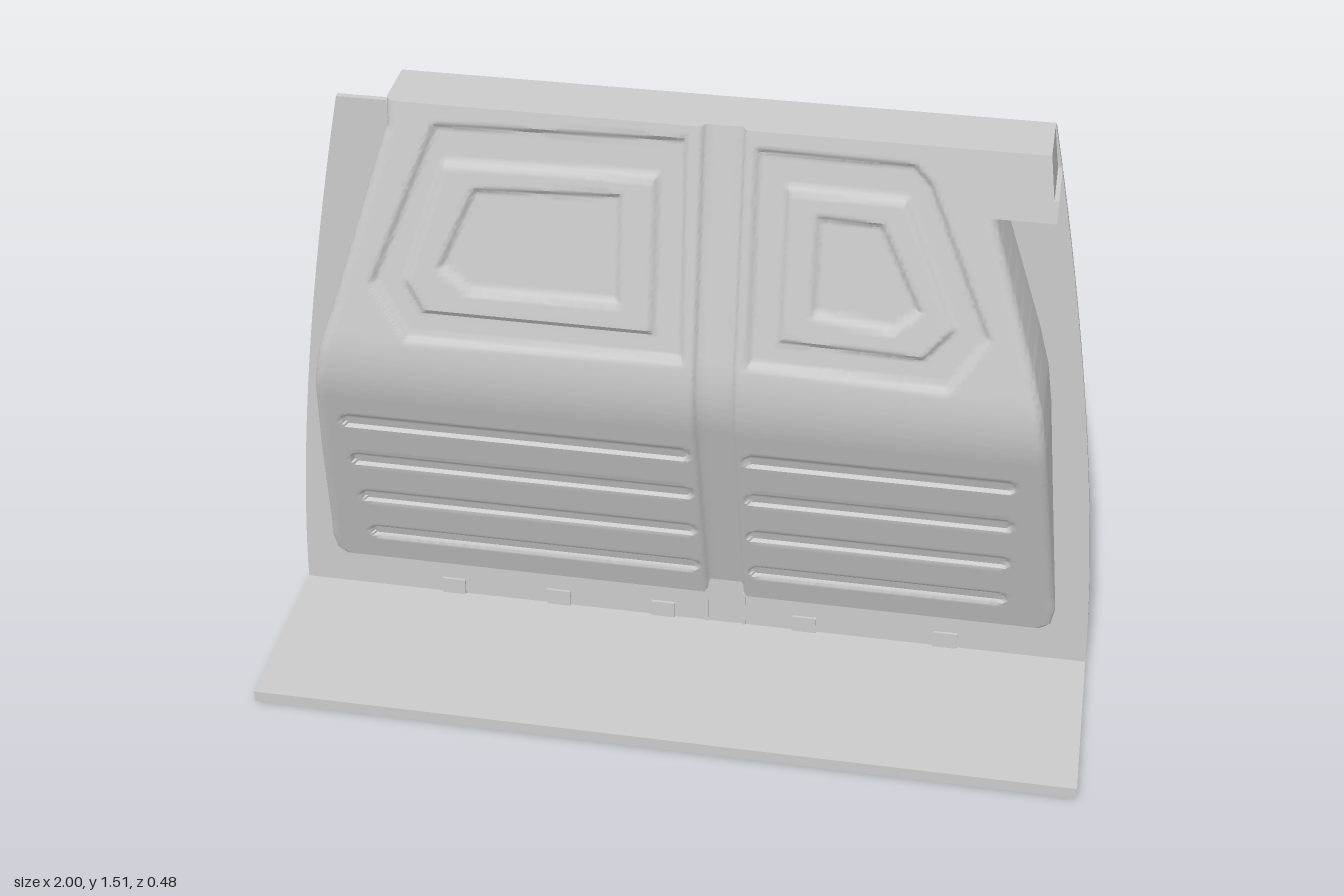
import * as THREE from 'three';
import { toCreasedNormals } from 'three/addons/utils/BufferGeometryUtils.js';

const BACK = -0.24, PLATE = -0.225, SEAT = -0.235, TOP = 1.51, FOOT = 0.12;

// piecewise-linear lookup of x along y
function lookup(points, y) {
  for (let i = 1; i < points.length; i++) {
    const [y0, x0] = points[i - 1], [y1, x1] = points[i];
    if (y <= y1) return x0 + (x1 - x0) * (y - y0) / (y1 - y0);
  }
  return points[points.length - 1][1];
}

// side edges of the pressed body
const LEFT_EDGE = [[0.12, -0.89], [0.14, -0.912], [0.19, -0.92], [0.55, -0.885], [0.8, -0.855], [0.9, -0.835],
  [1.0, -0.80], [1.42, -0.672], [1.45, -0.66], [1.51, -0.66]];
const RIGHT_EDGE = [[0.12, 0.88], [0.14, 0.905], [0.19, 0.912], [0.55, 0.875], [0.8, 0.85], [0.9, 0.835],
  [1.0, 0.808], [1.36, 0.69], [1.51, 0.65]];

// outer edge of the flat back plate
const plateX = y => 1 - 0.2 * Math.pow(y / TOP, 1.6);

// depth of the body: two slopes blended round the bend
function profile(y) {
  const a = PLATE + (y - FOOT) * 0.339, b = -0.09 + (TOP - y) * 0.175, k = 0.05;
  const h = Math.max(k - Math.abs(a - b), 0) / k;
  return Math.min(a, b) - h * h * k / 4;
}

// nested window pressings, clockwise: outer, middle, inner
const PANELS = [
  [[-0.55, 1.46], [0.01, 1.475], [0.02, 0.96], [-0.62, 0.95], [-0.70, 1.08]],
  [[-0.53, 1.375], [-0.05, 1.385], [-0.05, 1.02], [-0.58, 1.02], [-0.62, 1.09]],
  [[-0.46, 1.32], [-0.13, 1.335], [-0.13, 1.085], [-0.47, 1.08], [-0.54, 1.13]],
  [[0.17, 1.465], [0.51, 1.46], [0.55, 1.42], [0.70, 1.08], [0.62, 0.95], [0.17, 0.965]],
  [[0.24, 1.385], [0.50, 1.38], [0.62, 1.09], [0.56, 1.02], [0.24, 1.03]],
  [[0.31, 1.325], [0.45, 1.32], [0.545, 1.13], [0.49, 1.08], [0.31, 1.10]],
];
const PANEL_DEPTH = [0.013, -0.013, 0.013];

function insidePolygon(poly, x, y) {
  let d = Infinity;
  poly.forEach(([ax, ay], i) => {
    const [bx, by] = poly[(i + 1) % poly.length];
    const ex = bx - ax, ey = by - ay;
    d = Math.min(d, ((x - ax) * ey - (y - ay) * ex) / Math.hypot(ex, ey));
  });
  return d;
}

// how far the surface is pressed in at a point
function recess(x, y) {
  let r = 0;
  // centre channel
  r += 0.015 * THREE.MathUtils.smoothstep(0.045 - Math.abs(x - 0.095), -0.004, 0.004);
  // window pressings
  if (y > 0.92) PANELS.forEach((poly, i) => {
    r += PANEL_DEPTH[i % 3] * THREE.MathUtils.smoothstep(insidePolygon(poly, x, y), -0.009, 0.009);
  });
  // rows of long slots
  else for (let i = 0; i < 4; i++) {
    const cy = 0.67 - 0.147 * i;
    if (Math.abs(y - cy) > 0.04) continue;
    for (const [x0, x1] of [[-0.79, 0.01], [0.18, 0.77]]) {
      const d = 0.02 - Math.hypot(x - THREE.MathUtils.clamp(x, x0, x1), y - cy);
      r += 0.011 * THREE.MathUtils.smoothstep(d, -0.004, 0.004);
    }
  }
  return r;
}

// one horizontal section of the body, from left wall to right wall
function section(y) {
  const L = lookup(LEFT_EDGE, y), R = lookup(RIGHT_EDGE, y), z = profile(y);
  const r = Math.min(0.025, (z - SEAT) / 2), ARC = 5, pts = [];
  const arc = (x, s, t) => pts.push([x + s * r * (1 - Math.cos(t)), z - r + r * Math.sin(t)]);
  const span = (x0, x1, n) => {
    for (let i = 1; i <= n; i++) {
      const x = x0 + (x1 - x0) * i / n;
      pts.push([x, Math.max(z - recess(x, y), SEAT)]);
    }
  };
  pts.push([L, SEAT]);
  for (let i = 0; i <= ARC; i++) arc(L, 1, i / ARC * Math.PI / 2);
  span(L + r, 0.044, 125);
  span(0.044, 0.056, 3);
  span(0.056, 0.134, 4);
  span(0.134, 0.146, 3);
  span(0.146, R - r, 90);
  for (let i = ARC - 1; i >= 0; i--) arc(R, -1, i / ARC * Math.PI / 2);
  pts.push([R, SEAT]);
  return pts;
}

function bodyGeometry() {
  const ROWS = 190, pos = [], idx = [];
  let cols = 0;
  for (let j = 0; j <= ROWS + 1; j++) {
    const y = FOOT + (TOP - FOOT) * Math.min(j / ROWS, 1);
    const pts = section(y);
    cols = pts.length;
    // the last row folds back to close the top
    for (const [x, z] of pts) pos.push(x, y, j > ROWS ? BACK : z);
  }
  for (let j = 0; j <= ROWS; j++) for (let i = 0; i < cols - 1; i++) {
    const a = j * cols + i, b = a + cols;
    idx.push(a, a + 1, b + 1, a, b + 1, b);
  }
  const g = new THREE.BufferGeometry();
  g.setAttribute('position', new THREE.Float32BufferAttribute(pos, 3));
  g.setIndex(idx);
  return toCreasedNormals(g, 0.7);
}

export function createModel() {
  const group = new THREE.Group();
  const grey = new THREE.MeshStandardMaterial({ color: 0xcccccc });
  const thin = new THREE.MeshStandardMaterial({ color: 0xcccccc, side: THREE.DoubleSide });
  const add = (name, geometry, material = grey) => {
    const mesh = new THREE.Mesh(geometry, material);
    mesh.name = name;
    group.add(mesh);
    return mesh;
  };
  const box = (name, x0, x1, y0, y1, z0, z1) =>
    add(name, new THREE.BoxGeometry(x1 - x0, y1 - y0, z1 - z0))
      .position.set((x0 + x1) / 2, (y0 + y1) / 2, (z0 + z1) / 2);

  // flat back plate with curved sides and a notched corner
  const outline = new THREE.Shape();
  outline.moveTo(-1, 0);
  for (let i = 0; i <= 20; i++) outline.lineTo(plateX(TOP * i / 20), TOP * i / 20);
  outline.lineTo(-0.66, TOP);
  outline.lineTo(-0.66, 1.437);
  for (let i = 20; i > 0; i--) outline.lineTo(-plateX(1.437 * i / 20), 1.437 * i / 20);
  const plate = new THREE.ExtrudeGeometry(outline, { depth: PLATE - BACK, bevelEnabled: false });
  add('backPlate', plate.translate(0, 0, BACK));

  // pressed body
  add('pressedBody', bodyGeometry(), thin);

  // stepped block overhanging the upper corner, front following the slope
  const corner = new THREE.Shape([[0.62, 1.36], [0.822, 1.36], [0.822, 1.41], [0.812, 1.41], [0.798, TOP], [0.62, TOP]]
    .map(([x, y]) => new THREE.Vector2(x, y)));
  const block = new THREE.ExtrudeGeometry(corner, { depth: 1, bevelEnabled: false });
  const p = block.attributes.position;
  for (let i = 0; i < p.count; i++) p.setZ(i, p.getZ(i) > 0.5 ? profile(p.getY(i)) : BACK);
  block.computeVertexNormals();
  add('cornerBlock', block);

  // floor flange
  box('floorFlange', -1, 1, 0, 0.03, BACK, 0.24);

  // small tabs along the foot of the plate
  for (const x of [-0.61, -0.335, -0.065, 0.295, 0.65])
    box('footTab', x - 0.03, x + 0.03, 0.03, 0.075, PLATE - 0.005, PLATE + 0.006);

  // channel edges carried down to the floor
  for (const x of [0.048, 0.142])
    box('channelEdge', x - 0.004, x + 0.004, 0.03, FOOT + 0.01, PLATE - 0.005, PLATE + 0.003);

  return group;
}
